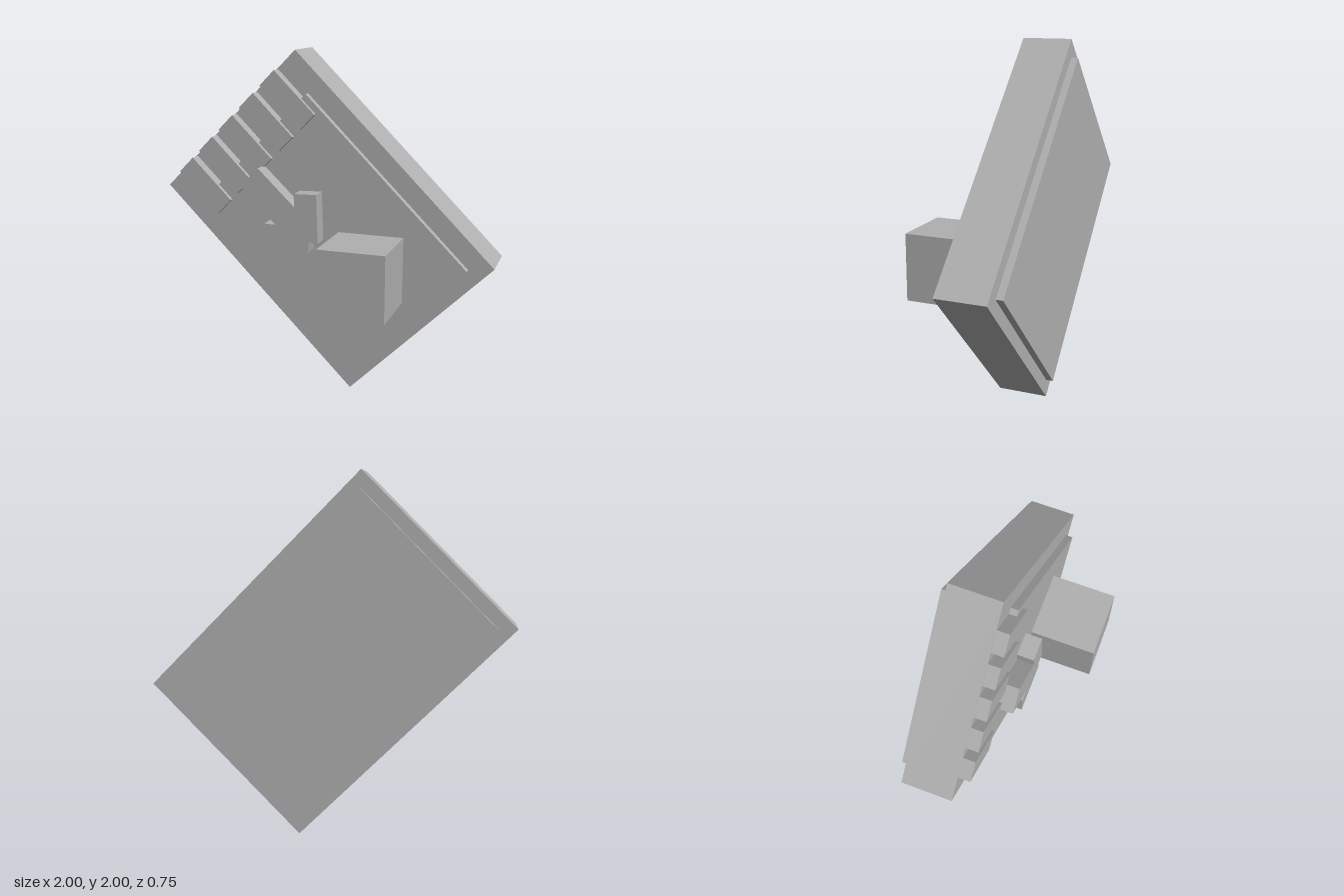
import * as THREE from 'three';

export function createModel() {
  const model = new THREE.Group();
  model.name = 'tiltedCard';
  const grey = new THREE.MeshStandardMaterial({ color: 0xb0b0b0 });
  grey.name = 'plain grey';

  // Box spanning z0..z1, turned about z by the given angle
  function slab(name, x, y, long, short, z0, z1, angle = -Math.PI / 4, parent = model) {
    const mesh = new THREE.Mesh(new THREE.BoxGeometry(long, short, z1 - z0), grey);
    mesh.name = name;
    mesh.position.set(x, y, (z0 + z1) / 2);
    mesh.rotation.z = angle;
    parent.add(mesh);
    return mesh;
  }

  // Main body with raised panels on both faces
  slab('body', 0, 1, 1.655, 1.173, -0.335, -0.05);
  slab('backPanel', 0, 1, 1.51, 1.03, -0.375, -0.335);
  slab('frontPanel', 0.048, 0.953, 1.338, 0.942, -0.05, -0.008);

  // Row of contact strips along the upper left edge
  const contacts = new THREE.Group();
  contacts.name = 'contacts';
  model.add(contacts);
  for (let i = 0; i < 5; i++) {
    slab('contact' + (i + 1), -0.196 - i * 0.132, 1.724 - i * 0.132, 0.342, 0.125,
      -0.05, 0.018, -Math.PI / 4, contacts);
  }

  // Arrow pointing down and to the right
  const outline = [
    [-0.35, 1.338], [-0.46, 1.225], [-0.245, 1.013], [-0.315, 1.015],
    [-0.327, 0.872], [-0.045, 0.864], [-0.04, 0.923], [0.014, 0.923],
    [0.005, 1.207], [-0.13, 1.203], [-0.13, 1.128],
  ].map(([x, y]) => new THREE.Vector2(x, y));
  const arrow = new THREE.Mesh(
    new THREE.ExtrudeGeometry(new THREE.Shape(outline), { depth: 0.1, bevelEnabled: false }), grey);
  arrow.name = 'arrow';
  arrow.position.z = -0.01;
  model.add(arrow);

  // Upright cube standing out of the front panel
  slab('cube', 0.298, 0.783, 0.385, 0.385, -0.01, 0.375, 0);

  return model;
}
